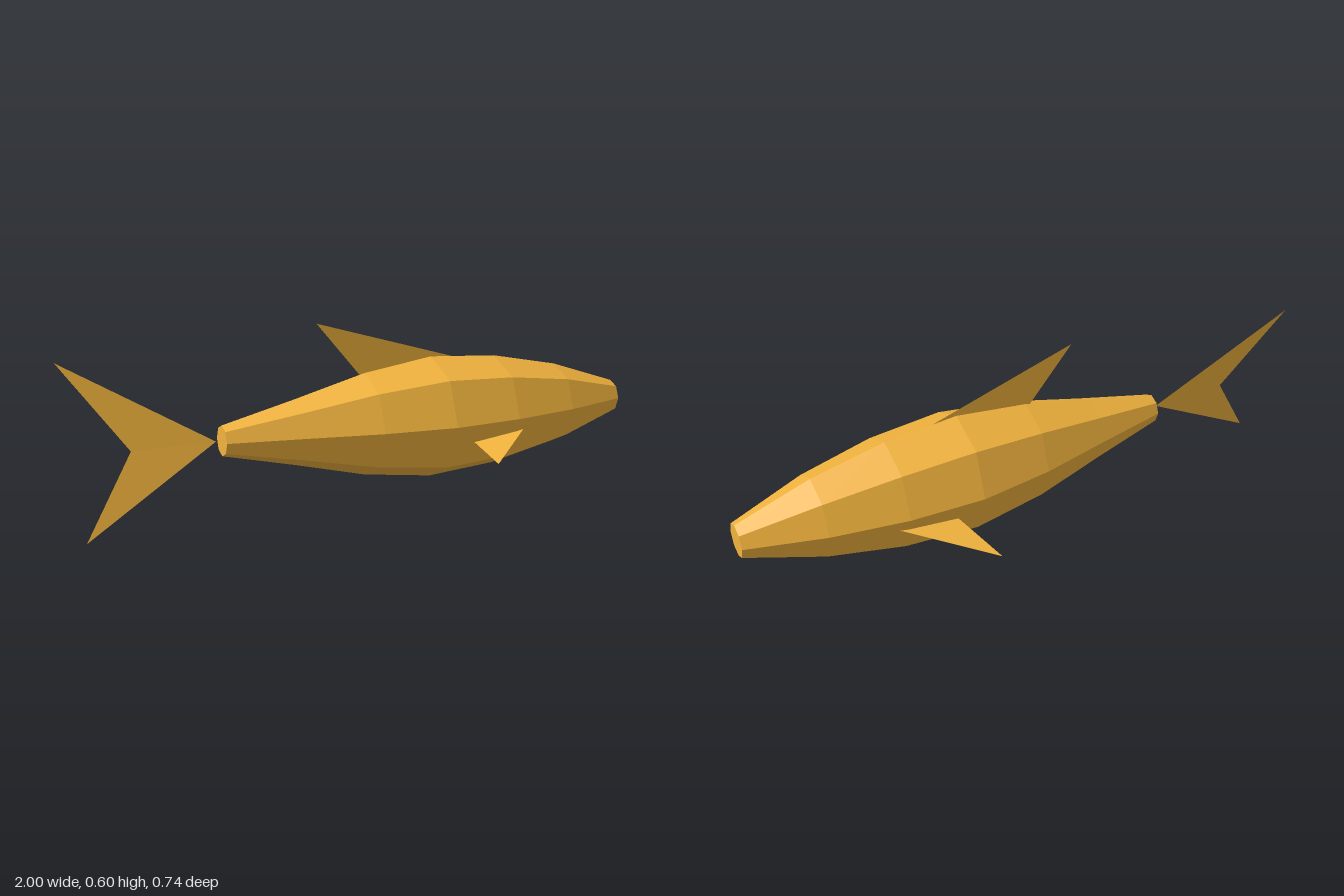
import * as THREE from 'three';

const MID = 0.252; // height of the body axis

const material = new THREE.MeshStandardMaterial({
  color: 0xf2b33d, flatShading: true, side: THREE.DoubleSide,
});

function part(name, geometry) {
  const mesh = new THREE.Mesh(geometry, material);
  mesh.name = name;
  return mesh;
}

// Thin fin: a fan of triangles around the first corner
function fin(name, corners) {
  const geometry = new THREE.BufferGeometry();
  geometry.setAttribute('position', new THREE.Float32BufferAttribute(corners.flat(), 3));
  const index = [];
  for (let i = 1; i < corners.length - 1; i++) index.push(0, i, i + 1);
  geometry.setIndex(index);
  const flat = geometry.toNonIndexed();
  flat.computeVertexNormals();
  return part(name, flat);
}

export function createModel() {
  const fish = new THREE.Group();
  fish.name = 'fish';

  // Body: eight-sided, capped at both ends, slightly narrower than tall
  const radii = [0.05, 0.109, 0.172, 0.207, 0.19, 0.14, 0.058];
  const profile = radii.map((r, i) => new THREE.Vector2(r, -0.5 + 0.25 * i));
  profile.unshift(new THREE.Vector2(0, -0.5));
  profile.push(new THREE.Vector2(0, 1));
  const bodyGeometry = new THREE.LatheGeometry(profile, 8);
  bodyGeometry.rotateZ(-Math.PI / 2).scale(1, 1, 0.9).translate(0, MID, 0);
  fish.add(part('body', bodyGeometry));

  // Forked tail, leaning back at the top
  fish.add(fin('tailFin', [
    [-0.52, MID, 0], [-1, 0.532, -0.065], [-0.795, MID, 0], [-0.96, 0, 0.063],
  ]));

  // Swept-back fin on the back
  fish.add(fin('dorsalFin', [[-0.17, 0.6, 0], [0, 0.4, 0], [0.5, 0.405, 0]]));

  // Pair of side fins
  for (const side of [1, -1]) {
    fish.add(fin(side > 0 ? 'rightSideFin' : 'leftSideFin', [
      [0.29, 0.17, 0.372 * side], [0.54, 0.212, 0.14 * side], [0.335, 0.19, 0.14 * side],
    ]));
  }

  return fish;
}
